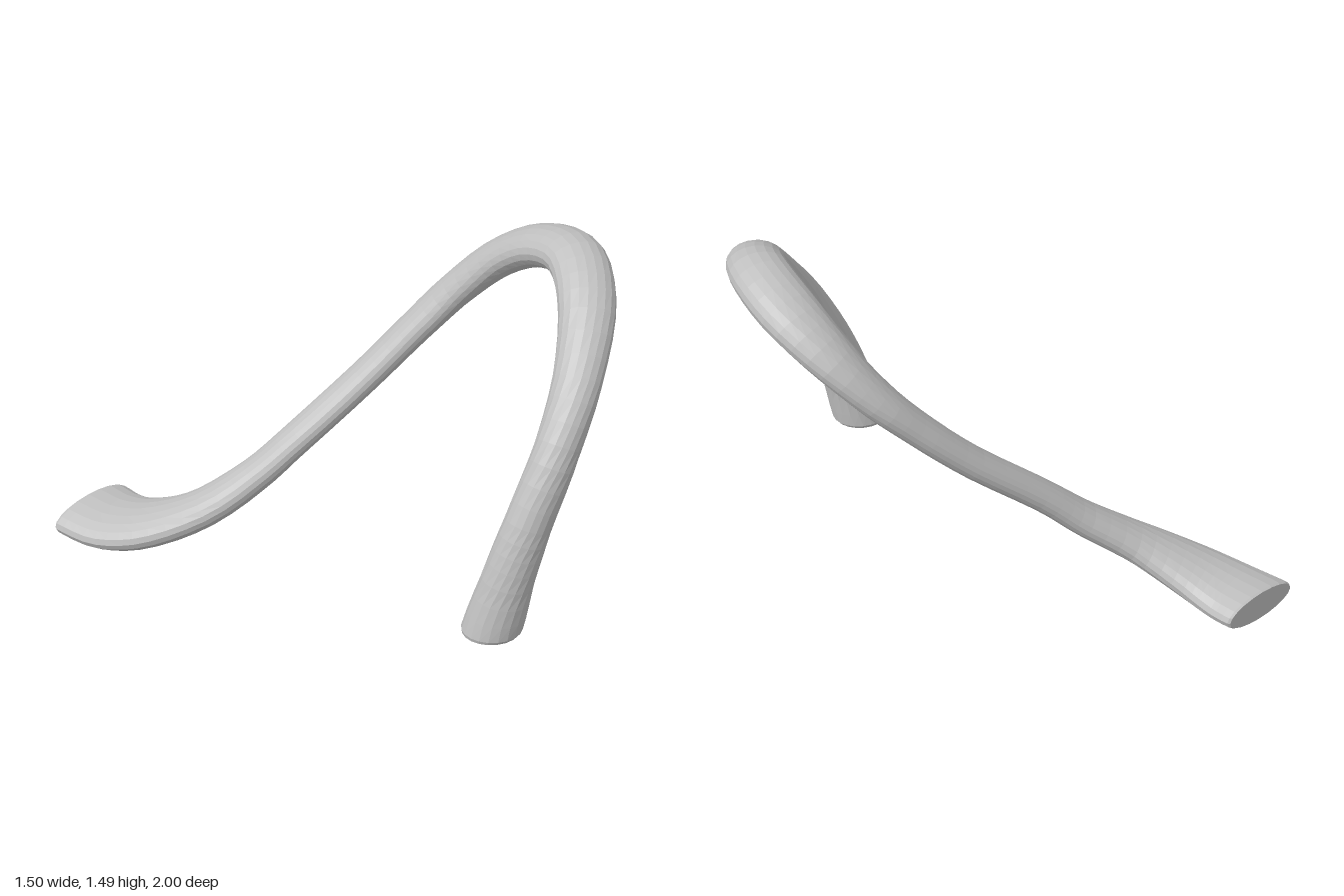
import * as THREE from 'three';

// stations along the limb: centre x, y, z, then half width, half thickness, roll
const STATIONS = [
  [-0.13, 0.225, 0.855, 0.105, 0.118, 0],
  [-0.075, 0.475, 0.89, 0.092, 0.098, 0],
  [-0.01, 0.67, 0.91, 0.086, 0.092, 0],
  [0.115, 0.915, 0.915, 0.085, 0.086, 0],
  [0.28, 1.14, 0.86, 0.093, 0.077, 0],
  [0.46, 1.33, 0.73, 0.108, 0.077, 0],
  [0.58, 1.41, 0.56, 0.115, 0.08, 0],
  [0.625, 1.375, 0.36, 0.12, 0.08, 0],
  [0.6, 1.265, 0.17, 0.108, 0.075, 0],
  [0.51, 1.1, 0.02, 0.09, 0.068, 0],
  [0.38, 0.935, -0.08, 0.08, 0.062, 0],
  [0.21, 0.75, -0.175, 0.077, 0.06, 0],
  [-0.065, 0.5, -0.305, 0.078, 0.06, 0],
  [-0.2, 0.365, -0.385, 0.084, 0.064, 0],
  [-0.38, 0.215, -0.52, 0.108, 0.07, 0.03],
  [-0.5, 0.115, -0.7, 0.15, 0.075, 0.06],
  [-0.55, 0.078, -0.85, 0.175, 0.074, 0.08],
  [-0.57, 0.08, -1.0, 0.187, 0.07, 0.08],
];
const SIDES = 20;
const STEPS = 60;

// loft elliptical rings along the curve and close both ends
function loftGeometry() {
  const path = new THREE.CatmullRomCurve3(STATIONS.map((s) => new THREE.Vector3(s[0], s[1], s[2])));
  const size = new THREE.CatmullRomCurve3(STATIONS.map((s) => new THREE.Vector3(s[3], s[4], s[5])));
  const startDir = new THREE.Vector3(0, 1, 0);
  const endDir = new THREE.Vector3(0, 0, -1);
  const rings = [];

  function ring(t, scale = 1) {
    const centre = path.getPoint(t);
    const { x: a, y: b, z: roll } = size.getPoint(t);
    const tangent = path.getTangent(t);
    const across = new THREE.Vector3(-tangent.z, 0, tangent.x).normalize();
    // square the two end cuts to the vertical and depth axes
    tangent.lerp(startDir, Math.max(0, 1 - t * 18));
    tangent.lerp(endDir, Math.max(0, 1 - (1 - t) * 18)).normalize();
    across.addScaledVector(tangent, -across.dot(tangent)).normalize();
    across.applyAxisAngle(tangent, -roll);
    const normal = new THREE.Vector3().crossVectors(across, tangent);
    const points = [];
    for (let i = 0; i < SIDES; i++) {
      const angle = (i / SIDES) * Math.PI * 2;
      points.push(centre.clone()
        .addScaledVector(across, Math.cos(angle) * a * scale)
        .addScaledVector(normal, Math.sin(angle) * b * scale));
    }
    rings.push(points);
  }

  // slightly softened rims at both ends
  ring(0, 0.001);
  ring(0, 0.93);
  ring(0.003, 0.99);
  for (let i = 1; i < STEPS; i++) ring(i / STEPS);
  ring(0.996, 0.99);
  ring(1, 0.95);
  ring(1, 0.001);

  const positions = rings.flat().flatMap((p) => [p.x, p.y, p.z]);
  const index = [];
  for (let r = 0; r < rings.length - 1; r++) {
    for (let i = 0; i < SIDES; i++) {
      const j = (i + 1) % SIDES;
      const a = r * SIDES + i, b = r * SIDES + j;
      const c = a + SIDES, d = b + SIDES;
      index.push(a, c, b, b, c, d);
    }
  }
  const geometry = new THREE.BufferGeometry();
  geometry.setAttribute('position', new THREE.Float32BufferAttribute(positions, 3));
  geometry.setIndex(index);
  geometry.computeVertexNormals();
  return geometry;
}

export function createModel() {
  const group = new THREE.Group();
  group.name = 'curvedLimb';
  const grey = new THREE.MeshStandardMaterial({ color: 0xbfbfbf, flatShading: true, side: THREE.DoubleSide });
  grey.name = 'light grey';
  const limb = new THREE.Mesh(loftGeometry(), grey);
  limb.name = 'limb';
  group.add(limb);
  return group;
}
